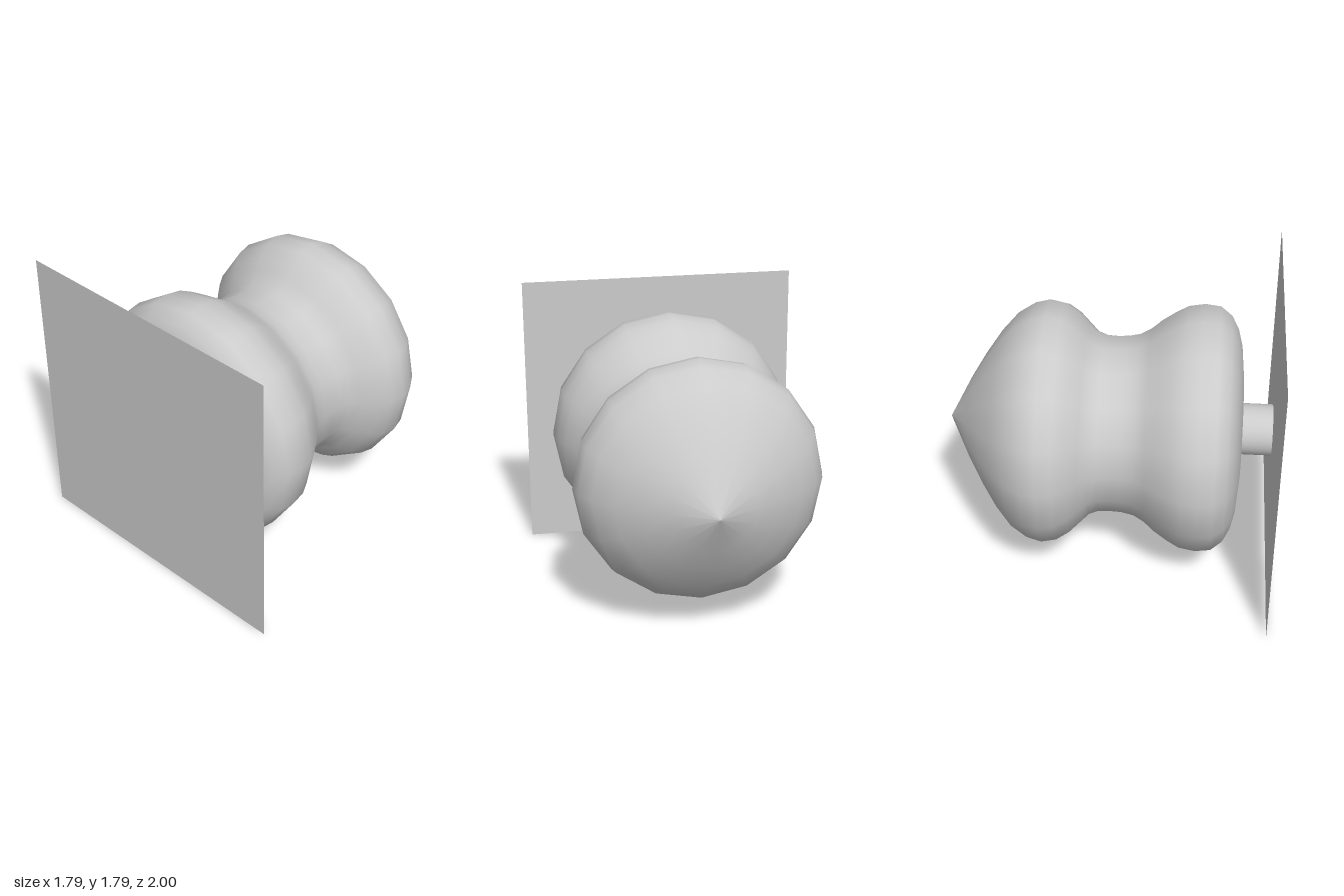
import * as THREE from 'three';

const MID = 0.895; // height of the knob's axis, and half the plate's side

export function createModel() {
  const model = new THREE.Group();
  const grey = new THREE.MeshStandardMaterial({ color: 0xcccccc });

  const add = (name, geometry, z, material = grey) => {
    const mesh = new THREE.Mesh(geometry, material);
    mesh.name = name;
    mesh.position.set(0, MID, z);
    model.add(mesh);
  };

  // Turned knob: profile of [radius, z] from the pointed back tip to the flat base
  const profile = [
    [0, -1], [0.257, -0.87], [0.412, -0.78], [0.556, -0.684], [0.668, -0.587],
    [0.733, -0.485], [0.756, -0.394], [0.738, -0.303], [0.69, -0.228], [0.62, -0.158],
    [0.572, -0.11], [0.551, -0.056], [0.547, 0.008], [0.551, 0.088], [0.567, 0.163],
    [0.604, 0.228], [0.658, 0.292], [0.71, 0.372], [0.75, 0.447], [0.766, 0.545],
    [0.755, 0.64], [0.7, 0.71], [0.62, 0.753], [0.515, 0.78], [0.34, 0.797], [0, 0.8],
  ].map(([r, z]) => new THREE.Vector2(r, z));
  add('knob', new THREE.LatheGeometry(profile, 16).rotateX(Math.PI / 2), 0);

  // Short peg joining the knob to the plate
  add('peg', new THREE.CylinderGeometry(0.158, 0.158, 0.2, 32).rotateX(Math.PI / 2), 0.885);

  // Thin square plate in front
  const thin = new THREE.MeshStandardMaterial({ color: 0xcccccc, side: THREE.DoubleSide });
  add('plate', new THREE.PlaneGeometry(2 * MID, 2 * MID), 1, thin);

  return model;
}
